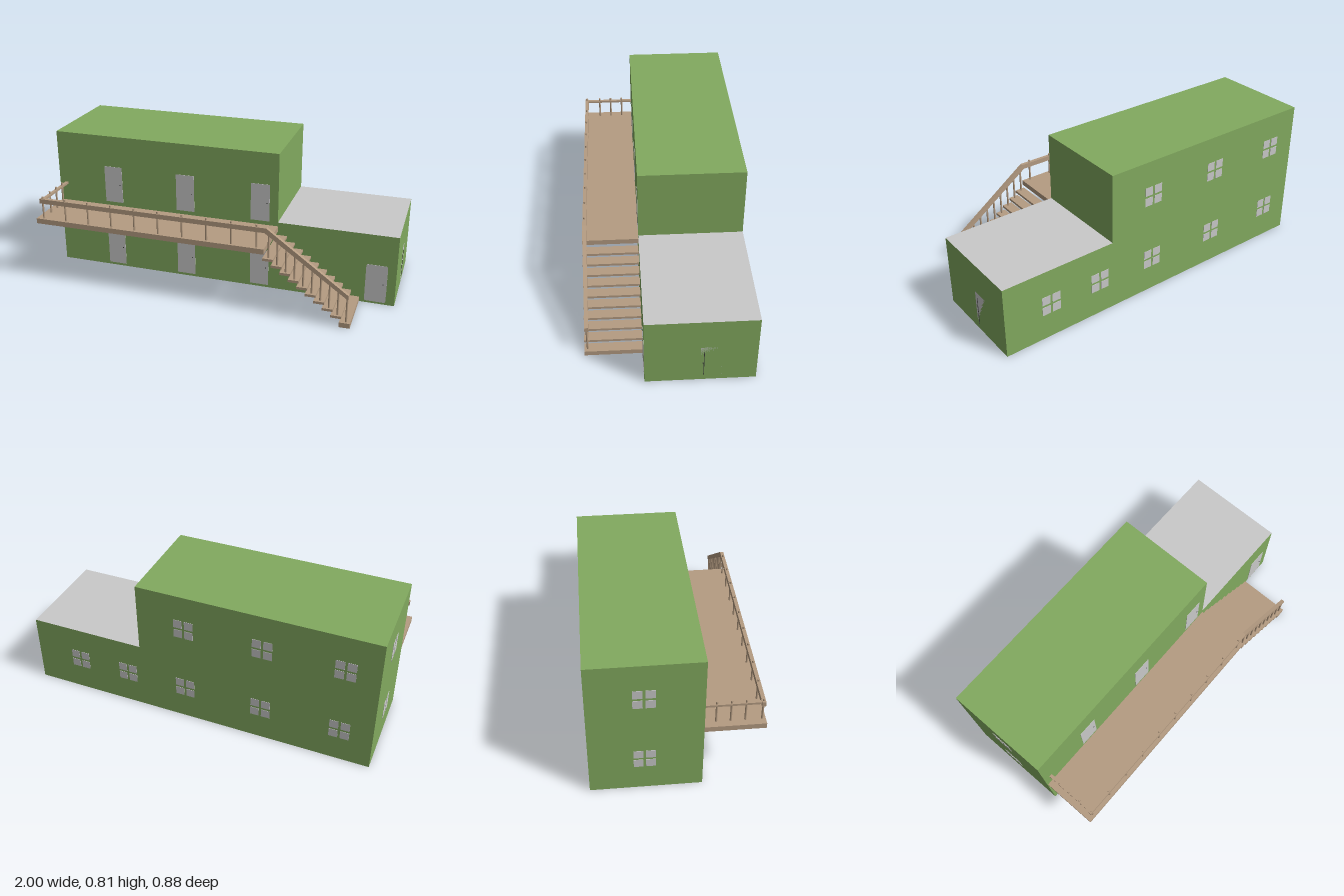
import * as THREE from 'three';

const paint = (name, color) => {
  const m = new THREE.MeshStandardMaterial({ color });
  m.name = name;
  return m;
};

export function createModel() {
  const model = new THREE.Group();
  model.name = 'house';
  const green = paint('greenWall', 0x82aa5f);
  const grey = paint('lightGrey', 0xc9c9c9);
  const wood = paint('wood', 0xb59c82);
  const dark = paint('darkMetal', 0x3c3c3c);

  const add = (parent, name, geometry, material) => {
    const mesh = new THREE.Mesh(geometry, material);
    mesh.name = name;
    parent.add(mesh);
    return mesh;
  };
  // Box given by its extents on each axis
  const block = (parent, name, [x0, x1], [y0, y1], [z0, z1], material) => {
    const g = new THREE.BoxGeometry(x1 - x0, y1 - y0, z1 - z0);
    g.translate((x0 + x1) / 2, (y0 + y1) / 2, (z0 + z1) / 2);
    return add(parent, name, g, material);
  };
  const group = (name) => {
    const g = new THREE.Group();
    g.name = name;
    model.add(g);
    return g;
  };

  // Two-storey block and lower wing with a grey roof
  const back = -0.438, front = 0.135, split = 0.333;
  block(model, 'mainBlock', [-1, split], [0, 0.813], [back, front], green);
  block(model, 'lowerWing', [split, 1], [0, 0.413], [back, front],
    [green, green, grey, green, green, green]);

  // Door leaf with small fittings, standing on its local origin and facing +z
  const door = (name, x, y, z, turn, w, h, r) => {
    const d = group(name);
    const a = w / 2;
    const s = new THREE.Shape();
    s.moveTo(-a + r, 0);
    s.lineTo(a - r, 0);
    s.quadraticCurveTo(a, 0, a, r);
    s.lineTo(a, h - r);
    s.quadraticCurveTo(a, h, a - r, h);
    s.lineTo(-a + r, h);
    s.quadraticCurveTo(-a, h, -a, h - r);
    s.lineTo(-a, r);
    s.quadraticCurveTo(-a, 0, -a + r, 0);
    add(d, 'doorLeaf', new THREE.ExtrudeGeometry(s, { depth: 0.002, bevelEnabled: false, curveSegments: 4 }), grey);
    d.position.set(x, y, z);
    d.rotation.y = turn;
    return d;
  };
  for (const x of [-0.652, -0.211, 0.23]) {
    for (const y of [0.015, 0.413]) {
      const d = door('frontDoor', x, y, front, 0, 0.108, 0.217, 0.001);
      block(d, 'doorHandle', [0.036, 0.042], [0.106, 0.11], [0.002, 0.004], dark);
    }
  }
  const wingDoor = door('wingDoor', 0.893, 0.012, front, 0, 0.118, 0.223, 0.012);
  block(wingDoor, 'doorHandle', [0.036, 0.042], [0.108, 0.112], [0.002, 0.004], dark);
  const sideDoor = door('sideDoor', 0.998, 0.015, -0.203, Math.PI / 2, 0.11, 0.22, 0.001);
  block(sideDoor, 'doorBar', [-0.0375, -0.0345], [0.02, 0.189], [0.002, 0.004], dark);
  block(sideDoor, 'doorHandle', [-0.044, -0.036], [0.107, 0.11], [0.002, 0.004], dark);

  // Windows of four panes, facing local +z
  const windowUnit = (x, y, z, turn) => {
    const w = group('window');
    for (const sx of [-1, 1]) {
      for (const sy of [-1, 1]) {
        const pane = add(w, 'windowPane', new THREE.BoxGeometry(0.049, 0.049, 0.003), grey);
        pane.position.set(sx * 0.031, sy * 0.031, 0.0005);
      }
    }
    w.position.set(x, y, z);
    w.rotation.y = turn;
  };
  for (const x of [-0.82, -0.38, 0.062]) windowUnit(x, 0.607, back, Math.PI);
  for (const x of [-0.82, -0.38, 0.062, 0.417, 0.724]) windowUnit(x, 0.207, back, Math.PI);
  for (const y of [0.207, 0.607]) windowUnit(-1, y, -0.157, -Math.PI / 2);

  // Balcony deck
  const balcony = group('balcony');
  const edge = 0.442;
  block(balcony, 'deck', [-0.996, 0.335], [0.36, 0.39], [front, edge], wood);

  // Stair treads, with a thicker one on the ground
  const stairs = group('stairs');
  const treadTop = (i) => (i === 9 ? 0.028 : 0.338 - 0.0343 * i);
  for (let i = 0; i < 10; i++) {
    const right = 0.386 + 0.0468 * i;
    const top = treadTop(i);
    block(stairs, 'tread', [right - 0.058, right],
      [i === 9 ? 0 : top - 0.014, top], [front, edge], wood);
  }

  // Handrail: level along the deck, then sloping down the stairs
  const railing = group('railing');
  const railZ = 0.424;
  const rail = new THREE.Shape([
    [-0.972, 0.481], [0.336, 0.481], [0.79, 0.16], [0.79, 0.187], [0.345, 0.508], [-0.972, 0.508],
  ].map(([x, y]) => new THREE.Vector2(x, y)));
  const railGeometry = new THREE.ExtrudeGeometry(rail, { depth: 0.02, bevelEnabled: false });
  add(railing, 'handrail', railGeometry.translate(0, 0, railZ - 0.01), wood);
  block(railing, 'endRail', [-0.966, -0.948], [0.493, 0.505], [front, railZ], wood);

  // Posts
  const post = (x, y0, y1, z) => {
    const p = add(railing, 'post', new THREE.CylinderGeometry(0.0055, 0.0055, y1 - y0, 10), wood);
    p.position.set(x, (y0 + y1) / 2, z);
  };
  for (let i = 0; i < 10; i++) {
    post(-0.957 + 0.1387 * i, 0.385, 0.52, railZ);
    const x = 0.358 + 0.0474 * i;
    post(x, treadTop(i) - 0.005, 0.487 - 0.707 * (x - 0.345), railZ);
  }
  for (const z of [0.341, 0.269, 0.197]) post(-0.957, 0.385, 0.52, z);

  return model;
}
